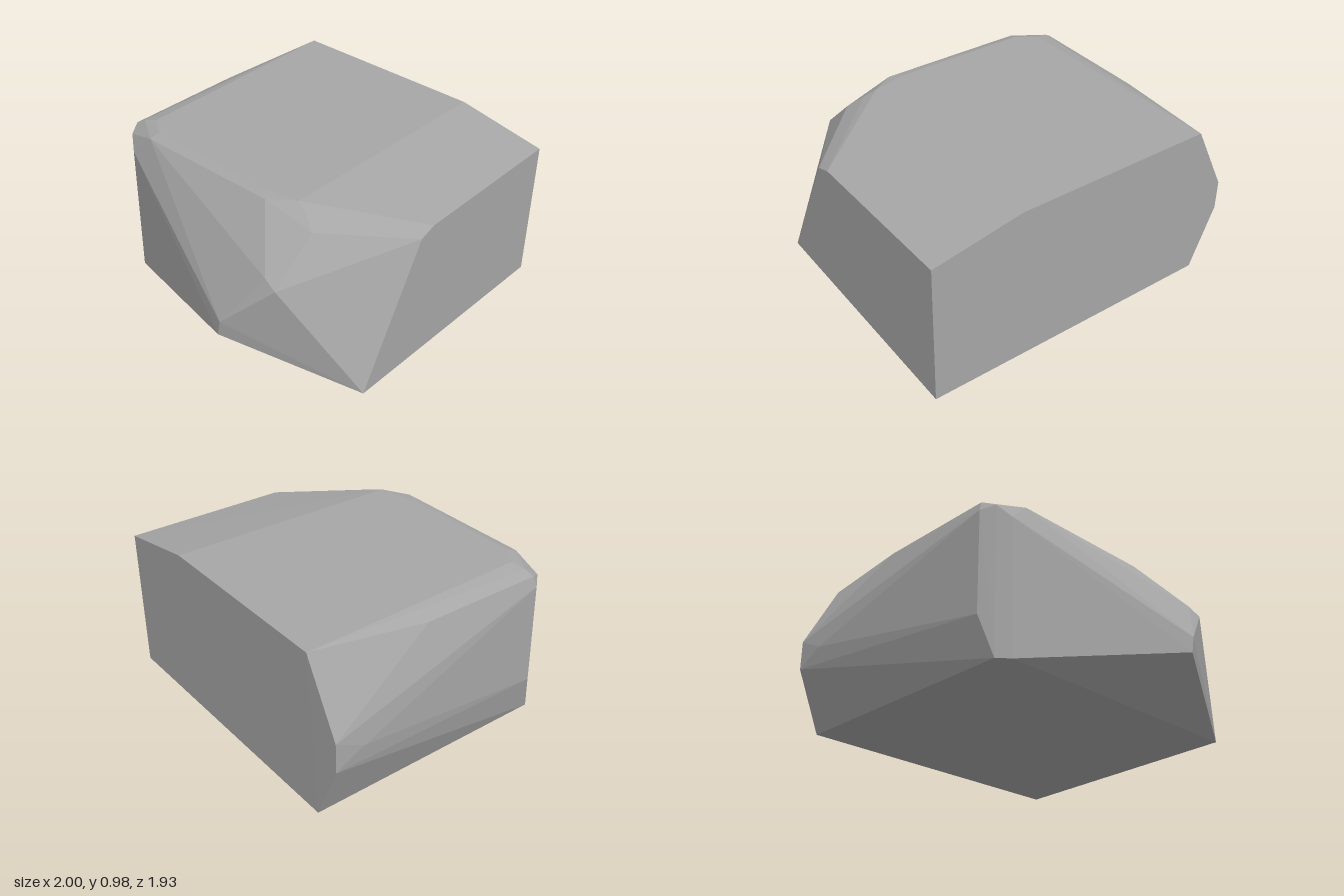
import * as THREE from 'three';
import { ConvexGeometry } from 'three/addons/geometries/ConvexGeometry.js';

// Corners of the faceted boulder, grouped by region
const corners = [
  // flat back face
  [1, 0, -0.965], [1, 0.88, -0.965], [0.45, 0.98, -0.965], [-0.78, 0.975, -0.965],
  [-1, 0.55, -0.96], [-1, 0.37, -0.96], [-0.84, 0, -0.965],
  // flat right-hand cut
  [1, 0.03, 0.58], [1, 0.84, 0.15], [1, 0.875, 0.05],
  // bulging left side
  [-1, 0.46, -0.78], [-0.88, 0.93, -0.27], [-0.9, 0.87, 0.5], [-0.9, 0.25, 0.5],
  // bottom front edge
  [-0.84, 0, 0.57], [-0.77, 0, 0.63], [-0.74, 0, 0.62],
  // front nose
  [0.28, 0.27, 0.965], [0.3, 0.37, 0.965], [0.58, 0.65, 0.82], [0.5, 0.69, 0.81],
  // worn upper front rim
  [0.59, 0.89, 0.55], [0.5, 0.95, 0.5], [0.43, 0.98, 0.48], [0.28, 0.97, 0.58],
  [0.2, 0.98, 0.53], [-0.63, 0.98, 0.53], [-0.64, 0.96, 0.59], [-0.77, 0.83, 0.62],
  [-0.83, 0.96, 0.47], [-0.88, 0.93, 0.49], [-0.84, 0.9, 0.565], [-0.75, 0.98, 0.45],
];

export function createModel() {
  const stone = new THREE.MeshStandardMaterial({ color: 0xa6a6a6, flatShading: true });
  stone.name = 'grey stone';

  const boulder = new THREE.Mesh(
    new ConvexGeometry(corners.map((c) => new THREE.Vector3(...c))),
    stone
  );
  boulder.name = 'boulder';

  const group = new THREE.Group();
  group.name = 'rock';
  group.add(boulder);
  return group;
}
